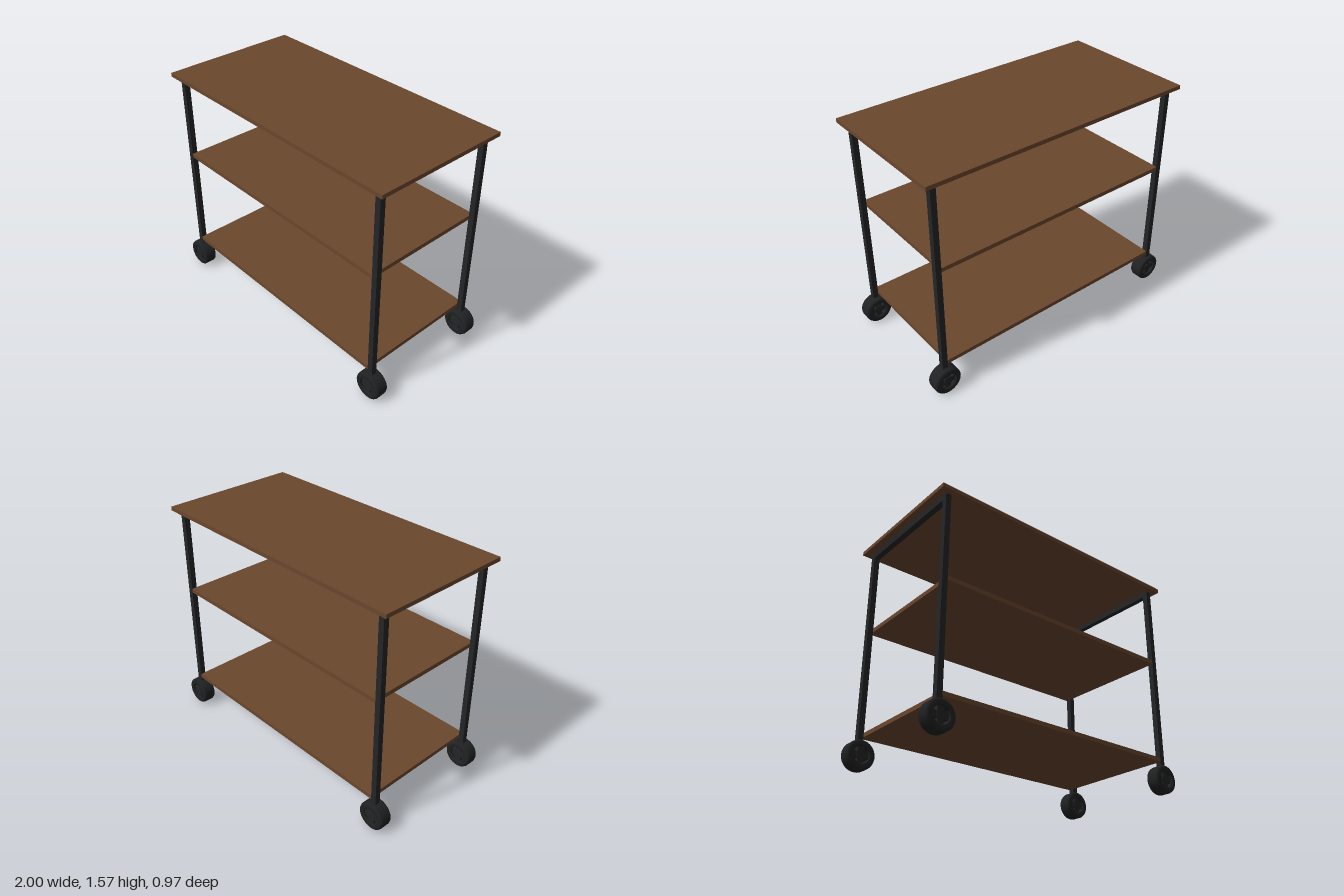
import * as THREE from 'three';

const wood = new THREE.MeshStandardMaterial({ color: 0x6b472d });
wood.name = 'brown wood';
const metal = new THREE.MeshStandardMaterial({ color: 0x242527 });
metal.name = 'black metal';
const rubber = new THREE.MeshStandardMaterial({ color: 0x202122 });
rubber.name = 'black rubber';

function box(name, material, x0, x1, y0, y1, z0, z1) {
  const mesh = new THREE.Mesh(new THREE.BoxGeometry(x1 - x0, y1 - y0, z1 - z0), material);
  mesh.position.set((x0 + x1) / 2, (y0 + y1) / 2, (z0 + z1) / 2);
  mesh.name = name;
  return mesh;
}

// Open ring tyre with bevelled shoulders, a small hub and a cross of spokes
function wheel(name) {
  const group = new THREE.Group();
  group.name = name;
  const R = 0.096, bore = 0.054, h = 0.047;
  const profile = [
    [bore, -h + 0.006], [bore + 0.006, -h], [R - 0.014, -h], [R - 0.004, -h + 0.006], [R, -h + 0.016],
    [R, h - 0.016], [R - 0.004, h - 0.006], [R - 0.014, h], [bore + 0.006, h], [bore, h - 0.006],
    [bore, -h + 0.006],
  ].map(([r, y]) => new THREE.Vector2(r, y));
  const tyre = new THREE.Mesh(new THREE.LatheGeometry(profile, 32), rubber);
  tyre.rotation.x = Math.PI / 2;
  tyre.name = 'tyre';
  const hub = new THREE.Mesh(new THREE.CylinderGeometry(0.031, 0.031, 0.076, 24), metal);
  hub.rotation.x = Math.PI / 2;
  hub.name = 'hub';
  group.add(tyre, hub);
  for (const [w, t] of [[0.06, 0.021], [0.021, 0.06]]) {
    group.add(box('spokes', metal, -w, w, -t, t, -0.034, 0.034));
  }
  return group;
}

export function createModel() {
  const model = new THREE.Group();
  model.name = 'shelfTrolley';

  // Overhanging top and two shelves set between the end frames
  model.add(box('topBoard', wood, -0.973, 0.973, 1.546, 1.573, -0.485, 0.485));
  model.add(box('middleShelf', wood, -0.887, 0.887, 0.944, 0.973, -0.443, 0.443));
  model.add(box('bottomShelf', wood, -0.887, 0.887, 0.217, 0.246, -0.443, 0.443));

  // End frames: two legs, a crossbar under the top, and a wheel on each leg
  for (const sx of [-1, 1]) {
    const side = sx > 0 ? 'left' : 'right';
    const x = sx * 0.905;
    model.add(box(side + 'Crossbar', metal, x - 0.019, x + 0.019, 1.508, 1.546, -0.406, 0.406));
    for (const sz of [-1, 1]) {
      const end = sz > 0 ? 'Front' : 'Back';
      const z = sz * 0.425;
      model.add(box(side + end + 'Leg', metal, x - 0.019, x + 0.019, 0.17, 1.546, z - 0.019, z + 0.019));
      const w = wheel(side + end + 'Wheel');
      w.position.set(x, 0.096, z - sx * 0.004);
      model.add(w);
    }
  }
  return model;
}
